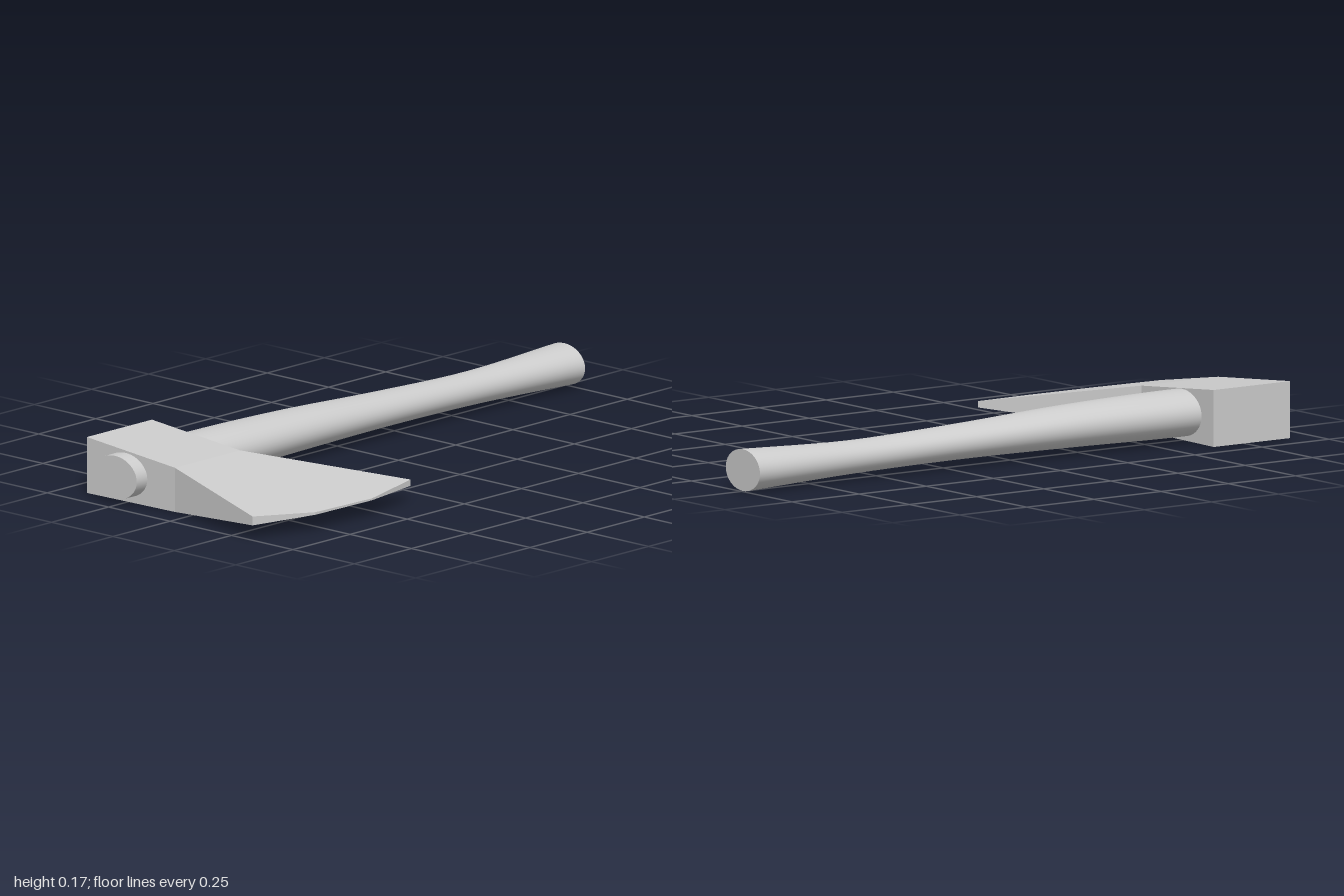
import * as THREE from 'three';
import { mergeVertices } from 'three/addons/utils/BufferGeometryUtils.js';

const steel = new THREE.MeshStandardMaterial({ color: 0xcccccc });
steel.name = 'plain grey';

// Handle: oval tube along z, waisted at the grip and flared at the butt
function makeHandle() {
  // z, centre height, half width, half height
  const stations = [
    [-1, 0.068, 0.085, 0.063],
    [-0.6, 0.07, 0.061, 0.05],
    [-0.2, 0.079, 0.07, 0.053],
    [0.2, 0.087, 0.086, 0.064],
    [0.6, 0.088, 0.097, 0.071],
    [0.965, 0.087, 0.088, 0.066],
  ];
  const spline = (pts) => new THREE.CatmullRomCurve3(pts, false, 'catmullrom', 0.5);
  const centre = spline(stations.map(([z, cy]) => new THREE.Vector3(-0.256, cy, z)));
  const size = spline(stations.map(([, , rx, ry]) => new THREE.Vector3(rx, ry, 0)));

  let geo = new THREE.CylinderGeometry(1, 1, 1, 40, 30);
  geo.rotateX(Math.PI / 2);
  geo.deleteAttribute('uv');
  geo = mergeVertices(geo);
  const pos = geo.attributes.position;
  for (let i = 0; i < pos.count; i++) {
    const t = THREE.MathUtils.clamp(pos.getZ(i) + 0.5, 0, 1);
    const c = centre.getPoint(t), s = size.getPoint(t);
    pos.setXYZ(i, c.x + pos.getX(i) * s.x, c.y + pos.getY(i) * s.y, c.z);
  }
  geo.computeVertexNormals();
  return geo;
}

// Head: plan outline in x and z, with the thickness tapering towards the edge
function makeHead() {
  const cheek = -0.055;
  const block = [[-0.413, 0.635], [-0.413, 0.92], [cheek, 0.92], [cheek, 0.635]];
  const blade = [[cheek, 0.635], [cheek, 0.92], [0.336, 1], [0.406, 0.8], [0.413, 0.56], [0.365, 0.34]];
  const outline = [block[0], ...block.slice(1, 2), ...blade.slice(1), blade[0]];

  const ramp = (x, a, b, c) => x < cheek
    ? THREE.MathUtils.mapLinear(x, -0.413, cheek, a, b)
    : THREE.MathUtils.mapLinear(x, cheek, 0.413, b, c);
  const top = ([x, z]) => [x, ramp(x, 0.175, 0.143, 0.063), z];
  const bottom = ([x, z]) => [x, ramp(x, 0.003, 0.007, 0.057), z];

  const verts = [];
  const tri = (...corners) => corners.forEach((p) => verts.push(...p));
  // Upper and lower faces
  for (const panel of [block, blade]) {
    for (let i = 1; i < panel.length - 1; i++) {
      const [a, b, c] = [panel[0], panel[i], panel[i + 1]];
      tri(top(a), top(b), top(c));
      tri(bottom(a), bottom(c), bottom(b));
    }
  }
  // Walls around the outline
  outline.forEach((p, i) => {
    const q = outline[(i + 1) % outline.length];
    tri(bottom(p), bottom(q), top(q));
    tri(bottom(p), top(q), top(p));
  });
  const geo = new THREE.BufferGeometry();
  geo.setAttribute('position', new THREE.Float32BufferAttribute(verts, 3));
  geo.computeVertexNormals();
  return geo;
}

export function createModel() {
  const group = new THREE.Group();
  group.name = 'axe';
  const add = (name, geo) => {
    const mesh = new THREE.Mesh(geo, steel);
    mesh.name = name;
    group.add(mesh);
  };
  add('handle', makeHandle());
  add('axeHead', makeHead());
  return group;
}
